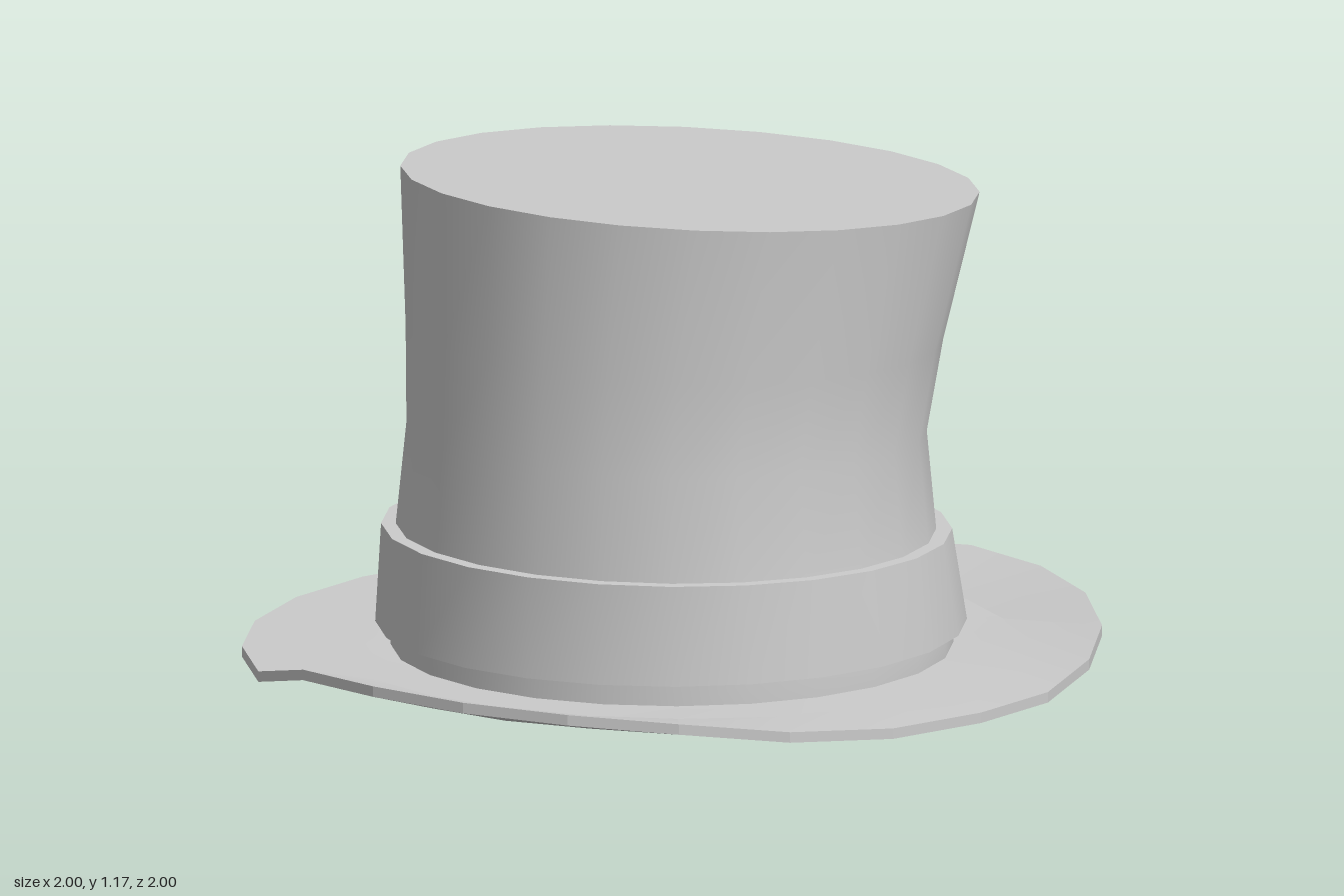
import * as THREE from 'three';
import { toCreasedNormals } from 'three/addons/utils/BufferGeometryUtils.js';

const SIDES = 24;

// Skin a stack of rings; point(ring, i, angle) gives [x, y, z], angle 0 = front
function loft(rings, point, closed = false) {
  const pos = [], idx = [];
  rings.forEach((ring) => {
    for (let i = 0; i < SIDES; i++) pos.push(...point(ring, i, (i / SIDES) * Math.PI * 2));
  });
  const spans = closed ? rings.length : rings.length - 1;
  for (let r = 0; r < spans; r++) {
    const lo = r * SIDES, hi = ((r + 1) % rings.length) * SIDES;
    for (let i = 0; i < SIDES; i++) {
      const j = (i + 1) % SIDES;
      idx.push(lo + i, lo + j, hi + j);
      if (rings[r + 1]?.rx !== 0) idx.push(lo + i, hi + j, hi + i);
    }
  }
  const g = new THREE.BufferGeometry();
  g.setAttribute('position', new THREE.Float32BufferAttribute(pos, 3));
  g.setIndex(idx);
  return g;
}

// Elliptical ring, shifted in z and tilted so the front edge sits higher
const ring = (y, rx, rz = rx, zc = 0, tilt = 0) => ({ y, rx, rz, zc, tilt });
const tilted = (r, i, a) => {
  const z = r.rz * Math.cos(a);
  return [r.rx * Math.sin(a), r.y + r.tilt * z, r.zc + z];
};

function mesh(name, geometry, options = {}) {
  const m = new THREE.Mesh(geometry, new THREE.MeshStandardMaterial({ color: 0xcccccc, ...options }));
  m.name = name;
  return m;
}

export function createModel() {
  const hat = new THREE.Group();
  hat.name = 'topHat';

  // Crown: waisted, leaning back, with a flat sloping lid
  const crown = loft([
    ring(0.015, 0.655),
    ring(0.085, 0.655),
    ring(0.31, 0.632, 0.625, 0.02, 0.02),
    ring(0.55, 0.605, 0.605, 0.018, 0.03),
    ring(0.77, 0.622, 0.628, -0.008, 0.045),
    ring(1.127, 0.675, 0.672, -0.06, 0.07),
    ring(1.127, 0, 0, -0.06, 0),
  ], tilted);
  hat.add(mesh('crown', toCreasedNormals(crown, 0.7), { side: THREE.DoubleSide }));

  // Band: a tapered strip standing proud of the crown
  const band = loft([
    ring(0.085, 0.65),
    ring(0.085, 0.688, 0.688, 0.003),
    ring(0.312, 0.665, 0.663, 0.018, 0.018),
    ring(0.312, 0.625, 0.618, 0.018, 0.018),
  ], tilted, true);
  hat.add(mesh('band', toCreasedNormals(band, 0.7)));

  // Brim: rim lift every 15 degrees, starting at the front and turning to the left
  const lift = [
    0.068, 0.065, 0.058, 0.043, 0.015, 0, 0, 0, 0.022, 0.042, 0.06, 0.068,
    0.07, 0.05, 0.022, 0.006, 0, 0, 0, 0, 0, 0, 0, 0.06,
  ];
  const brim = loft([
    { r: 0.64, y: 0, k: 0 },
    { r: 0.8, y: 0, k: 0.1 },
    { r: 1, y: 0, k: 1 },
    { r: 1, y: 0.025, k: 1 },
    { r: 0.8, y: 0.03, k: 0.1 },
    { r: 0.64, y: 0.03, k: 0 },
  ], (p, i, a) => [p.r * Math.sin(a), p.y + p.k * lift[i], p.r * Math.cos(a)], true);
  hat.add(mesh('brim', toCreasedNormals(brim, 0.15)));

  return hat;
}
